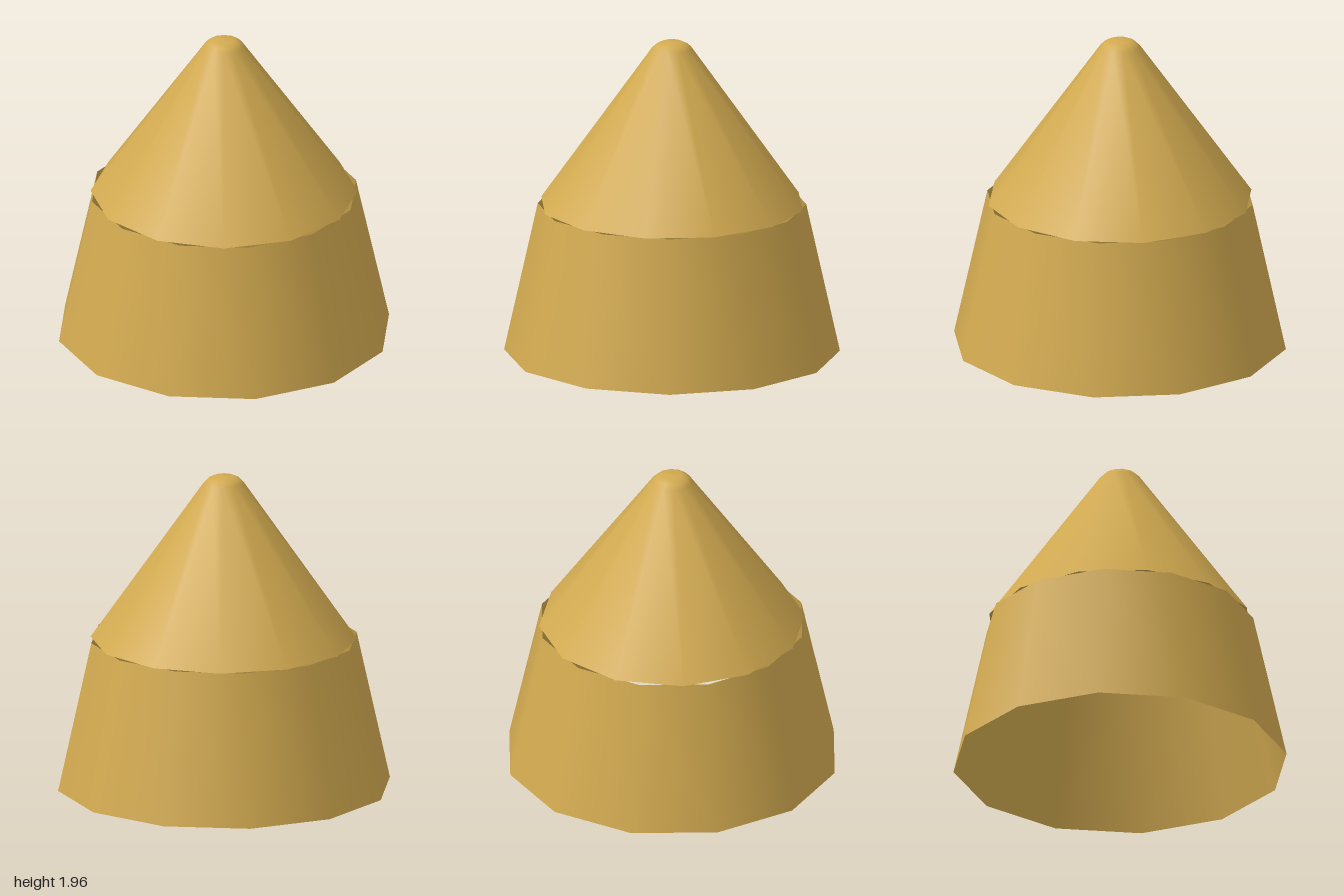
import * as THREE from 'three';

const SIDES = 12;

export function createModel() {
  const group = new THREE.Group();
  const straw = new THREE.MeshStandardMaterial({ color: 0xd2aa50, side: THREE.DoubleSide });
  straw.name = 'straw';

  // Turned part from [radius, height] pairs, rotated by an angle in degrees
  const turned = (name, profile, degrees) => {
    const points = profile.map(([r, y]) => new THREE.Vector2(r, y));
    const geometry = new THREE.LatheGeometry(points, SIDES, THREE.MathUtils.degToRad(degrees));
    const mesh = new THREE.Mesh(geometry, straw);
    mesh.name = name;
    group.add(mesh);
  };

  // Open, tapering lower skirt
  turned('lowerSkirt', [[1.028, 0], [0.822, 0.93]], 16.5);

  // Upper cone with a blunt, rounded tip
  turned('upperCone', [[0.817, 0.93], [0.125, 1.915], [0.1, 1.94], [0.065, 1.957], [0, 1.96]], 5.7);

  // Underside of the cone
  turned('coneUnderside', [[0, 0.93], [0.817, 0.93]], 5.7);

  return group;
}
